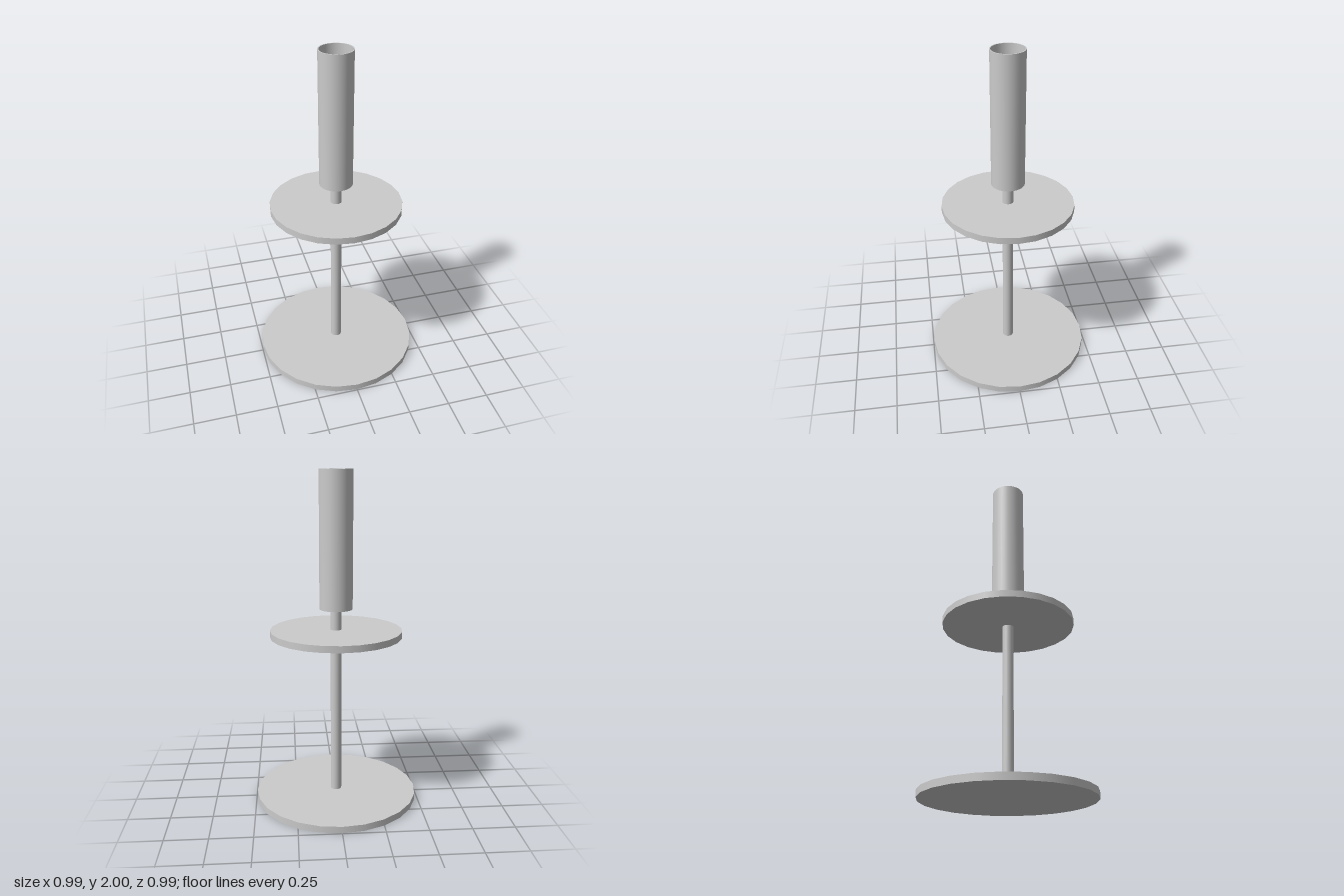
import * as THREE from 'three';

export function createModel() {
  const group = new THREE.Group();
  const material = new THREE.MeshStandardMaterial({ color: 0xcccccc });

  const add = (name, geometry, y = 0) => {
    const mesh = new THREE.Mesh(geometry, material);
    mesh.name = name;
    mesh.position.y = y;
    group.add(mesh);
    return mesh;
  };

  // Upright cylinder spanning bottom to top
  const cylinder = (name, radius, bottom, top, sides) =>
    add(name, new THREE.CylinderGeometry(radius, radius, top - bottom, sides), (bottom + top) / 2);

  cylinder('base', 0.495, 0, 0.04, 24);
  cylinder('rod', 0.033, 0.04, 1.2, 24);
  cylinder('plate', 0.395, 1.03, 1.07, 24);

  // Half ring set into the front of the plate, just flush with its faces
  const ring = add('plateRing', new THREE.TorusGeometry(0.2, 0.02, 8, 24, Math.PI), 1.05);
  ring.rotation.x = Math.PI / 2;

  // Hollow sleeve with a thin wall: walls, rim and floor kept as separate sharp-edged surfaces
  const outer = 0.099, inner = 0.093, bottom = 1.195, floor = 1.205, top = 2;
  const profile = [[0, bottom], [outer, bottom], [outer, top], [inner, top], [inner, floor], [0, floor]];
  const sleeve = new THREE.Group();
  sleeve.name = 'sleeve';
  for (let i = 0; i < profile.length - 1; i++) {
    const points = [profile[i], profile[i + 1]].map(([x, y]) => new THREE.Vector2(x, y));
    const surface = new THREE.Mesh(new THREE.LatheGeometry(points, 32), material);
    surface.name = ['sleeveBottom', 'sleeveWall', 'sleeveRim', 'sleeveInside', 'sleeveFloor'][i];
    sleeve.add(surface);
  }
  group.add(sleeve);

  return group;
}
